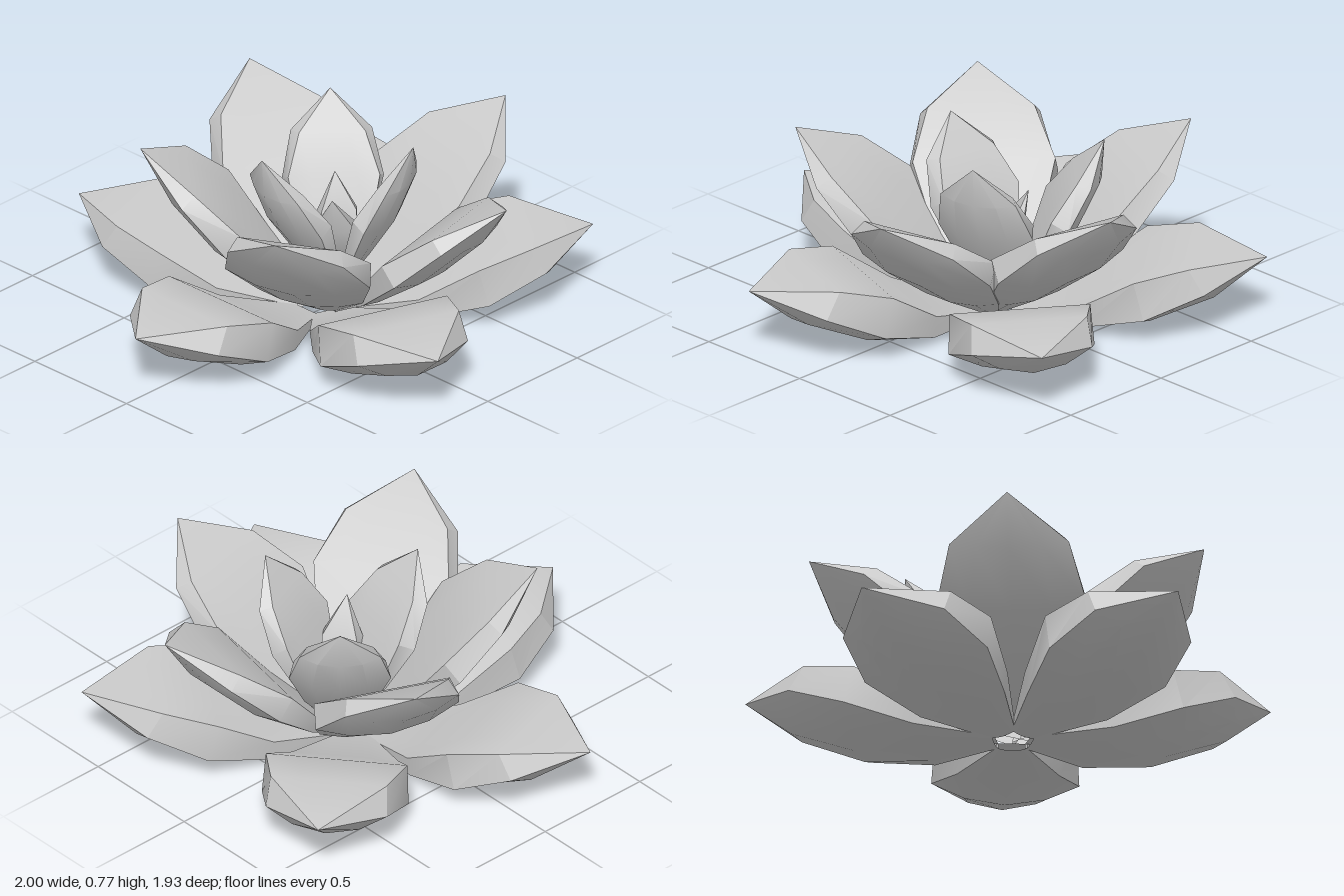
import * as THREE from 'three';
import { toCreasedNormals } from 'three/addons/utils/BufferGeometryUtils.js';

const material = new THREE.MeshStandardMaterial({ color: 0xcccccc, side: THREE.DoubleSide });

// Thick petal pointing along +z: rounded underside, bevelled rim, nearly flat top.
// Each station: [reach, height, half width, crease lift, rim half width, rim lift];
// lifts run along the normal of the midline. The last station is the tip.
function petalGeometry(stations) {
  const positions = [];
  const index = [];
  const cols = 10;
  const last = stations.length - 1;
  stations.forEach(([r, y, w, lift, rimW, rimLift], i) => {
    const a = stations[Math.max(i - 1, 0)];
    const b = stations[Math.min(i + 1, last)];
    const len = Math.hypot(b[0] - a[0], b[1] - a[1]);
    const nz = -(b[1] - a[1]) / len;
    const ny = (b[0] - a[0]) / len;
    const side = [[rimW, rimLift], [w, lift], [w * 0.55, lift * 0.3]];
    const section = [
      ...side.map(([x, l]) => [-x, l]),
      [0, 0],
      ...side.slice().reverse(),
      [rimW * 0.5, rimLift],
      [0, rimLift],
      [-rimW * 0.5, rimLift],
    ];
    for (const [x, l] of section) positions.push(x, y + ny * l, r + nz * l);
  });
  for (let i = 0; i < last; i++) {
    for (let j = 0; j < cols; j++) {
      const a = i * cols + j;
      const b = i * cols + ((j + 1) % cols);
      index.push(a, b, a + cols);
      if (i < last - 1) index.push(b, b + cols, a + cols);
    }
  }
  const geometry = new THREE.BufferGeometry();
  geometry.setAttribute('position', new THREE.Float32BufferAttribute(positions, 3));
  geometry.setIndex(index);
  return toCreasedNormals(geometry, 0.55);
}

const outerStations = [
  [0.07, 0.005, 0.06, 0.01, 0.06, 0.03],
  [0.35, 0.005, 0.2, 0.03, 0.21, 0.12],
  [0.62, 0.035, 0.29, 0.08, 0.28, 0.24],
  [0.87, 0.135, 0.24, 0.085, 0.23, 0.205],
  [1.05, 0.28, 0, 0, 0, 0],
];
const middleStations = [
  [0.08, 0.05, 0.08, 0.015, 0.08, 0.03],
  [0.3, 0.18, 0.21, 0.04, 0.21, 0.1],
  [0.52, 0.34, 0.295, 0.07, 0.28, 0.17],
  [0.7, 0.53, 0.235, 0.06, 0.21, 0.13],
  [0.81, 0.71, 0, 0, 0, 0],
];
const innerStations = [
  [0.03, 0.1, 0.05, 0.01, 0.05, 0.03],
  [0.15, 0.25, 0.14, 0.03, 0.14, 0.07],
  [0.27, 0.42, 0.2, 0.06, 0.18, 0.13],
  [0.35, 0.6, 0.16, 0.05, 0.13, 0.1],
  [0.36, 0.76, 0, 0, 0, 0],
];
const centreStations = [
  [0, 0.2, 0.03, 0.01, 0.03, 0.02],
  [0.07, 0.32, 0.07, 0.02, 0.07, 0.06],
  [0.12, 0.45, 0.08, 0.03, 0.07, 0.08],
  [0.14, 0.62, 0, 0, 0, 0],
];

// Ring of petals aimed at tip positions [x, height, z]
function ring(name, stations, cx, cz, tips) {
  const group = new THREE.Group();
  group.name = name + 'Ring';
  group.position.set(cx, 0, cz);
  const geometry = petalGeometry(stations);
  const [tipReach, tipHeight] = stations[stations.length - 1];
  tips.forEach(([x, y, z]) => {
    const petal = new THREE.Mesh(geometry, material);
    petal.name = name + 'Petal';
    petal.rotation.y = Math.atan2(x - cx, z - cz);
    petal.scale.set(1, y / tipHeight, Math.hypot(x - cx, z - cz) / tipReach);
    group.add(petal);
  });
  return group;
}

export function createModel() {
  const model = new THREE.Group();
  model.name = 'lotusFlower';
  model.add(
    // low, spreading petals
    ring('outer', outerStations, 0, -0.08, [
      [0.01, 0.28, 0.96], [1, 0.29, 0.28], [0.63, 0.28, -0.97],
      [-0.68, 0.28, -0.91], [-1, 0.27, 0.24],
    ]),
    // raised petals
    ring('middle', middleStations, 0.04, -0.1, [
      [0.2, 0.71, -0.92], [0.83, 0.68, -0.28], [0.42, 0.71, 0.6],
      [-0.45, 0.76, 0.46], [-0.73, 0.71, -0.44],
    ]),
    // upright petals
    ring('inner', innerStations, 0.02, -0.16, [
      [-0.04, 0.76, 0.2], [-0.27, 0.76, -0.42], [0.32, 0.77, -0.28],
    ]),
    // small heart of the flower
    ring('centre', centreStations, 0.05, -0.15, [
      [0.13, 0.56, -0.02], [-0.05, 0.55, -0.22],
    ]),
  );
  return model;
}
